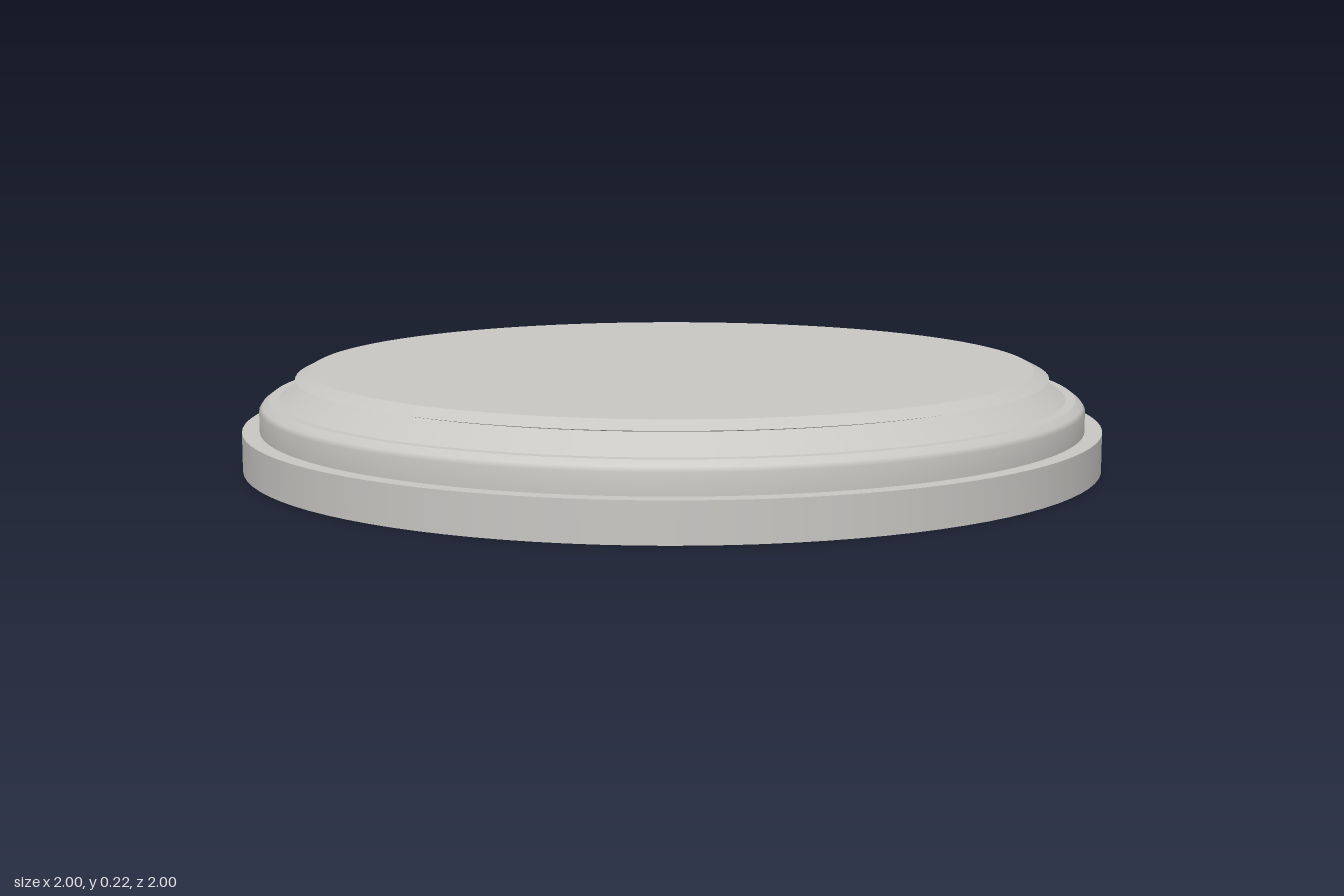
import * as THREE from 'three';

const SEGMENTS = 96;

export function createModel() {
  const model = new THREE.Group();
  model.name = 'roundPlinth';
  const stone = new THREE.MeshStandardMaterial({ color: 0xc9c7c4 });
  stone.name = 'pale grey';

  // Each ring is its own lathe, so edges between rings stay sharp
  const ring = (name, ...profile) => {
    const points = profile.map(([r, y]) => new THREE.Vector2(r, y));
    const mesh = new THREE.Mesh(new THREE.LatheGeometry(points, SEGMENTS), stone);
    mesh.name = name;
    model.add(mesh);
  };

  // Foot disc
  ring('footUnderside', [0, 0], [1, 0]);
  ring('footRim', [1, 0], [1, 0.09]);
  ring('footLedge', [1, 0.09], [0.96, 0.09]);

  // Middle step with a rounded shoulder
  ring('stepSide', [0.96, 0.09], [0.96, 0.138], [0.953, 0.148], [0.937, 0.16]);
  ring('stepLedge', [0.937, 0.16], [0.915, 0.16]);

  // Sloping neck below the overhanging lip
  ring('neck', [0.915, 0.16], [0.855, 0.202]);
  ring('lipUnderside', [0.855, 0.202], [0.877, 0.207]);
  ring('lipBevel', [0.877, 0.207], [0.842, 0.225]);

  // Flat top
  ring('topFace', [0.842, 0.225], [0, 0.225]);
  return model;
}
